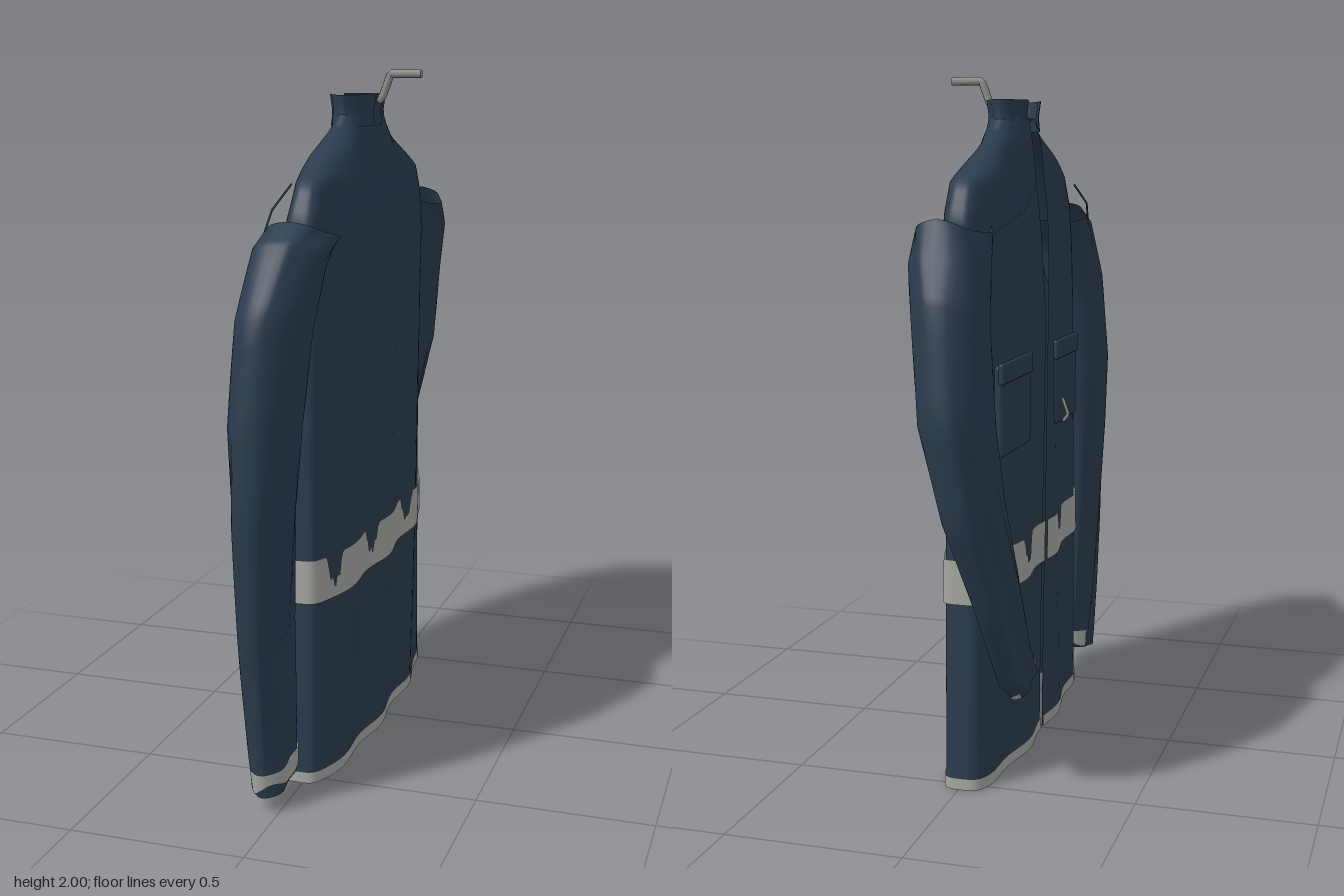
import * as THREE from 'three';
import { RoundedBoxGeometry } from 'three/addons/geometries/RoundedBoxGeometry.js';

const material = (name, color) => {
  const m = new THREE.MeshStandardMaterial({ color, side: THREE.DoubleSide });
  m.name = name;
  return m;
};

// Grid surface from fn(u, v) -> [x, y, z]; v is passed as a list of values
function surface(fn, nu, vs, closed = false) {
  const pos = [], idx = [], cols = closed ? nu : nu + 1;
  for (const v of vs) for (let i = 0; i < cols; i++) pos.push(...fn(i / nu, v));
  for (let j = 0; j < vs.length - 1; j++) {
    for (let i = 0; i < nu; i++) {
      const a = j * cols + i, b = j * cols + (i + 1) % cols, c = a + cols, d = b + cols;
      idx.push(a, b, c, b, d, c);
    }
  }
  const g = new THREE.BufferGeometry();
  g.setAttribute('position', new THREE.Float32BufferAttribute(pos, 3));
  g.setIndex(idx);
  g.computeVertexNormals();
  return g;
}

const steps = (a, b, n) => Array.from({ length: n + 1 }, (_, i) => a + (b - a) * i / n);

// Linear lookup in rows sorted by their first value
function lookup(rows, y) {
  let i = 0;
  while (i < rows.length - 2 && y > rows[i + 1][0]) i++;
  const t = THREE.MathUtils.clamp((y - rows[i][0]) / (rows[i + 1][0] - rows[i][0]), 0, 1);
  return rows[i].map((v, k) => v + (rows[i + 1][k] - v) * t);
}

// Body profile: height, half width, lowest x, highest x, half width of the open front, edge power
const BODY = [
  [0, .54, -.10, .085, .01, .5], [.5, .535, -.10, .09, .008, .5], [1, .535, -.10, .09, .008, .5],
  [1.3, .533, -.10, .09, .01, .5], [1.5, .54, -.095, .09, .03, .5], [1.61, .535, -.09, .085, .045, .55],
  [1.7, .478, -.08, .078, .05, .6], [1.77, .335, -.075, .066, .05, .75], [1.84, .185, -.066, .054, .05, .95],
  [1.88, .142, -.06, .048, .05, 1],
];
const COLLAR = [
  [1.84, .152, -.066, .056, .05, 1], [1.88, .144, -.062, .052, .05, 1.05], [1.93, .15, -.07, .06, .05, 1.1],
];

// Point on a flattened tube, u running from one front edge round to the other
function wrap(rows, u, y, offset = 0, amp = .009, freq = 19) {
  const [, w, x0, x1, gap, power] = lookup(rows, y);
  const start = Math.asin(gap / w);
  const a = start + u * (Math.PI * 2 - start * 2);
  const c = Math.cos(a), bulge = Math.sign(c) * Math.pow(Math.abs(c), power);
  const z = (w + offset) * Math.sin(a);
  const fold = amp * Math.sin(z * freq + y * 1.7 + (c > 0 ? 2 : 0)) * Math.abs(bulge);
  return [(x0 + x1) / 2 - ((x1 - x0) / 2 + offset) * bulge + fold, y, z];
}

// Sleeve rings: inner z, inner y, outer z, outer y, lowest x, highest x
const LEFT_SLEEVE = [
  [.385, 1.565, .62, 1.615, -.095, .098], [.475, 1.47, .70, 1.56, -.10, .085],
  [.51, 1.32, .81, 1.38, -.11, .06], [.525, 1.05, .845, 1.10, -.125, .035],
  [.533, .82, .85, .85, -.118, .02], [.537, .5, .815, .5, -.108, .005],
  [.545, .25, .778, .25, -.10, .005], [.56, .085, .755, .045, -.09, .008],
];
const RIGHT_SLEEVE = [
  [-.395, 1.61, -.685, 1.61, -.095, .102], [-.485, 1.47, -.745, 1.5, -.11, .092],
  [-.53, 1.3, -.80, 1.39, -.12, .065], [-.535, 1.05, -.845, 1.09, -.14, .035],
  [-.52, .85, -.80, .82, -.16, -.015], [-.46, .62, -.69, .55, -.18, -.075],
  [-.37, .42, -.56, .32, -.175, -.10], [-.29, .30, -.46, .25, -.17, -.115],
];

function sleevePoint(rings, u, v, offset = 0, dip = 0) {
  const [, zi, yi, zo, yo, x0, x1] = lookup(rings.map((r, i) => [i, ...r]), v);
  const a = u * Math.PI * 2, c = Math.cos(a), s = Math.sin(a);
  const r = 1 + offset / .08;
  const along = .5 + .5 * c * r;
  const fold = .005 * Math.sin(a * 5 + v * 1.4);
  return [
    (x0 + x1) / 2 + (x1 - x0) / 2 * r * Math.sign(s) * Math.pow(Math.abs(s), .75) + fold,
    yi + (yo - yi) * along - dip * Math.max(0, 1 - v) * Math.abs(s),
    zi + (zo - zi) * along,
  ];
}

// Worn upper edge of the reflective band: torn notches at given z positions
const NOTCHES = [[.445, .038, .1], [.16, .05, .085], [-.2, .05, .09], [-.485, .035, .1]];
function bandTop(z) {
  let cut = 0;
  for (const [c, r, d] of NOTCHES) {
    const k = 1 - Math.abs(z - c) / r;
    if (k > 0) cut = Math.max(cut, d * Math.min(1, k * 1.5) * (.8 + .2 * Math.sin(z * 300)));
  }
  return .667 - cut;
}

export function createModel() {
  const group = new THREE.Group();
  const navy = material('navy cloth', 0x2a3b4d);
  const silver = material('reflective grey', 0xa5a7a2);
  const metal = material('hook metal', 0x8c8c89);
  const add = (name, geometry, mat, parent = group) => {
    const m = new THREE.Mesh(geometry, mat);
    m.name = name;
    parent.add(m);
    return m;
  };

  // Body shell, open at the front, neck and hem
  const rows = [];
  BODY.slice(0, -1).forEach((r, i) => rows.push(...steps(r[0], BODY[i + 1][0], 4).slice(0, 4)));
  rows.push(1.88);
  add('body', surface((u, y) => wrap(BODY, u, y), 140, rows), navy);

  // Pleated collar
  add('collar', surface((u, y) => wrap(COLLAR, u, y, .002, .006, 95), 100, steps(1.84, 1.93, 4)), navy);

  // Reflective band with a torn top, and hem strip
  add('reflectiveBand', surface((u, v) => {
    const z = wrap(BODY, u, .6)[2];
    return wrap(BODY, u, .54 + (bandTop(z) - .54) * v, .009);
  }, 280, [0, .5, 1]), silver);
  add('hemStrip', surface((u, y) => wrap(BODY, u, y, .004), 140, [0, .034]), silver);

  // Sleeves with worn grey cuff patches
  [['left', LEFT_SLEEVE, .02], ['right', RIGHT_SLEEVE, .04]].forEach(([side, rings, dip]) => {
    const last = rings.length - 1;
    add(side + 'Sleeve', surface((u, v) => sleevePoint(rings, u, v, 0, dip), 40, steps(0, last, last * 4), true), navy);
    add(side + 'Cuff', surface((u, v) => sleevePoint(rings, -.1 + u * .75,
      last - .36 + v * (.25 + .08 * Math.cos(u * 13)), .004), 60, [0, 1]), silver);
  });

  // Chest pockets with flaps on the opening side
  [['left', .225, .25], ['right', -.335, .29]].forEach(([side, z, width]) => {
    const pocket = new THREE.Group();
    pocket.name = side + 'Pocket';
    pocket.position.set(-.1, 1.075, z);
    add('pocketBag', new RoundedBoxGeometry(.026, .26, width, 2, .012), navy, pocket);
    add('pocketFlap', new RoundedBoxGeometry(.018, .06, width + .01, 2, .008), navy, pocket)
      .position.set(-.009, .105, 0);
    group.add(pocket);
  });

  // Loose shoulder cords and fastener pull
  const tube = (name, points, radius, mat) => {
    const path = new THREE.CurvePath();
    const pts = points.map(p => new THREE.Vector3(...p));
    for (let i = 1; i < pts.length; i++) path.add(new THREE.LineCurve3(pts[i - 1], pts[i]));
    add(name, new THREE.TubeGeometry(path, 24, radius, 8), mat);
  };
  tube('leftCord', [[-.135, 1.68, .22], [-.135, 1.62, .38], [-.098, 1.56, .55]], .003, navy);
  tube('rightCord', [[-.135, 1.68, -.24], [-.135, 1.62, -.36], [-.098, 1.56, -.55]], .003, navy);
  tube('fastenerPull', [[-.16, 1.05, -.01], [-.178, 1.0, -.01], [-.163, .98, -.01]], .005, metal);

  // Hanging hook behind the neck
  tube('hook', [[.055, 1.91, -.005], [.07, 1.925, -.005], [.093, 1.988, -.005], [.185, 1.988, -.005]], .012, metal);
  const cap = add('hookEnd', new THREE.CylinderGeometry(.012, .012, .002, 8), metal);
  cap.rotation.z = Math.PI / 2;
  cap.position.set(.185, 1.988, -.005);

  return group;
}
